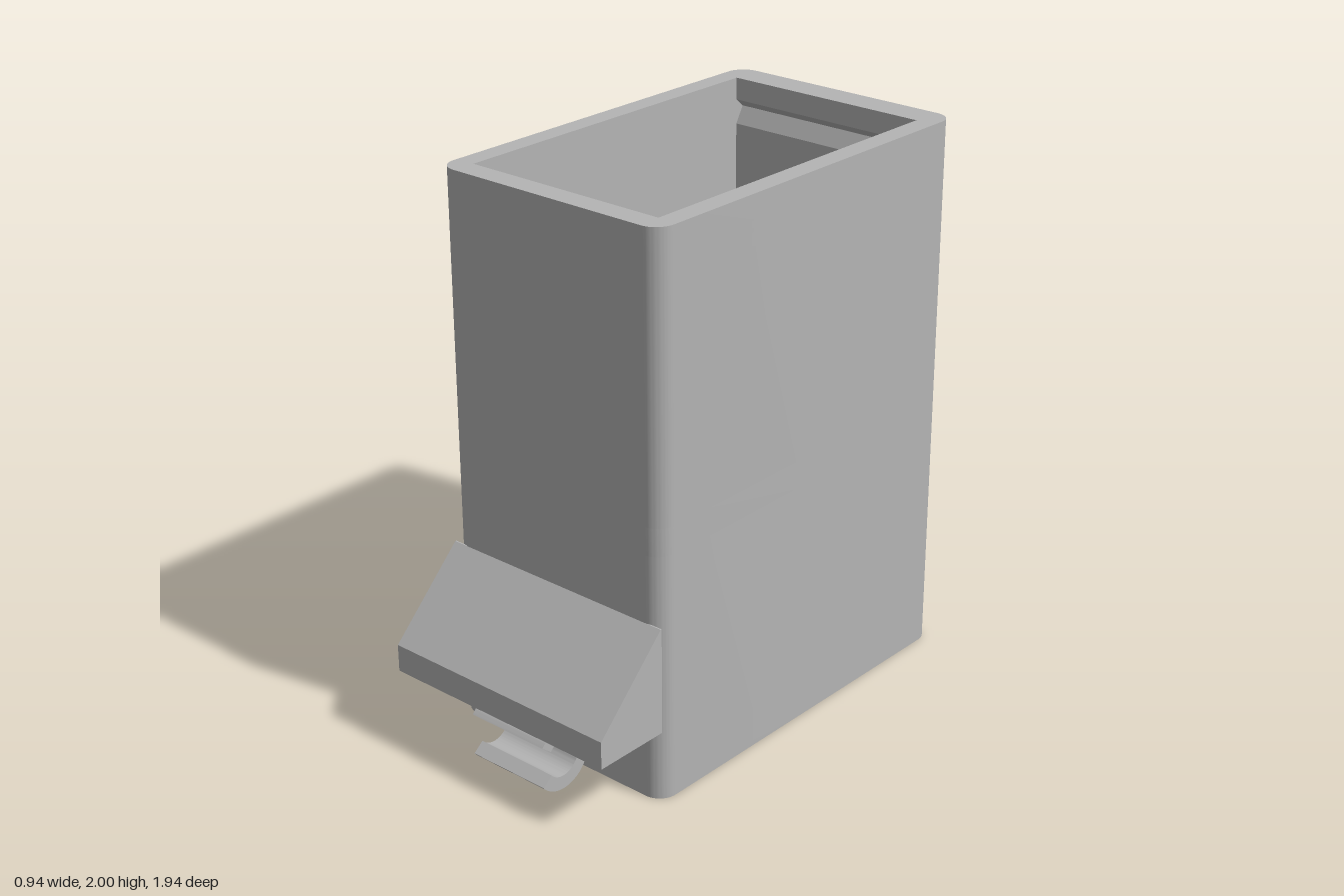
import * as THREE from 'three';
import { toCreasedNormals } from 'three/addons/utils/BufferGeometryUtils.js';

const W = 0.47, BACK = -0.825, FRONT = 0.685, R = 0.07;
const IN_X = 0.395, IN_FRONT = 0.6, IN_BACK = -0.71;
const HOLE_X = 0.365, HOLE_R = 0.045, SLOT = 0.025;

// Plan shapes are drawn in (x, -z)
function outerShape() {
  const s = new THREE.Shape();
  const corners = [[W - R, -FRONT + R], [W - R, -BACK - R], [-W + R, -BACK - R], [-W + R, -FRONT + R]];
  corners.forEach(([x, y], i) => s.absarc(x, y, R, (i - 1) * Math.PI / 2, i * Math.PI / 2, false));
  s.closePath();
  return s;
}

function rectHole(back) {
  return new THREE.Path([[-IN_X, -IN_FRONT], [IN_X, -IN_FRONT], [IN_X, -back], [-IN_X, -back]]
    .map(([x, y]) => new THREE.Vector2(x, y)));
}

function roundHole(x) {
  return new THREE.Path().absarc(x, -IN_BACK, HOLE_R, 0, Math.PI * 2, false);
}

// Two round holes joined by a narrow slot
function slotHole() {
  const a = Math.asin(SLOT / HOLE_R);
  const p = new THREE.Path();
  p.absarc(HOLE_X, -IN_BACK, HOLE_R, Math.PI + a, 3 * Math.PI - a, false);
  p.absarc(-HOLE_X, -IN_BACK, HOLE_R, a, 2 * Math.PI - a, false);
  p.closePath();
  return p;
}

// Extrude a plan through the given heights; rule(z, step) cuts the grooves
function layer(heights, holes, rule = z => z) {
  const shape = outerShape();
  shape.holes.push(...holes);
  const n = heights.length - 1;
  const g = new THREE.ExtrudeGeometry(shape, { depth: n, steps: n, bevelEnabled: false, curveSegments: 10 });
  g.rotateX(-Math.PI / 2);
  const p = g.attributes.position;
  for (let i = 0; i < p.count; i++) {
    const k = Math.round(p.getY(i));
    p.setY(i, heights[k]);
    p.setZ(i, rule(p.getZ(i), k));
  }
  return toCreasedNormals(g, 0.5);
}

// Extrude a (z, y) side profile across x
function across(shape, x0, x1) {
  const g = new THREE.ExtrudeGeometry(shape, { depth: x1 - x0, bevelEnabled: false, curveSegments: 40 });
  g.rotateY(-Math.PI / 2);
  g.translate(x1, 0, 0);
  return g;
}

// Round boss with a blind hole, blending down to a square foot on the wall
function bossGeometry() {
  const r = 0.175, hole = 0.1, cy = 1.51, footY = 1.2, end = -0.97, n = 16;
  const ring = []; // [angle, foot side: 0 = round, otherwise the corner]
  for (let i = 0; i <= 2 * n; i++) ring.push([Math.PI * i / (2 * n), 0]);
  for (let i = 0; i <= n; i++) ring.push([Math.PI * (1 + i / (2 * n)), -1]);
  for (let i = 0; i <= n; i++) ring.push([Math.PI * (1.5 + i / (2 * n)), 1]);
  ring.push([0, 0]);
  const circle = (rad, z) => ring.map(([a]) => [rad * Math.cos(a), cy + rad * Math.sin(a), z]);
  const foot = circle(r, BACK).map((p, i) => (ring[i][1] ? [ring[i][1] * r, footY, BACK] : p));
  const rows = [foot, circle(r, end), circle(hole, end), circle(hole, BACK)];
  const pos = [], idx = [], m = ring.length;
  rows.forEach(row => row.forEach(p => pos.push(...p)));
  for (let j = 0; j < rows.length - 1; j++) {
    for (let i = 0; i < m - 1; i++) {
      const a = j * m + i, b = a + m;
      idx.push(a, b, a + 1, b, b + 1, a + 1);
    }
  }
  const g = new THREE.BufferGeometry();
  g.setAttribute('position', new THREE.Float32BufferAttribute(pos, 3));
  g.setIndex(idx);
  return toCreasedNormals(g, 0.5);
}

export function createModel() {
  const model = new THREE.Group();
  const grey = new THREE.MeshStandardMaterial({ color: 0xb4b4b4 });
  grey.name = 'plain grey';
  const add = (name, geometry, parent = model) => {
    const mesh = new THREE.Mesh(geometry, grey);
    mesh.name = name;
    parent.add(mesh);
    return mesh;
  };

  // Housing: lower sleeve with outer catch groove, dividing floor, upper sleeve with inner groove
  const housing = new THREE.Group();
  housing.name = 'housing';
  model.add(housing);
  const outerCut = [0.025, 0, 0, 0.025, 0, 0];
  add('lowerSleeve', layer([0, 0.02, 0.08, 0.1, 0.15, 0.9], [rectHole(-0.6), slotHole()],
    (z, k) => Math.max(z, BACK + outerCut[k])), housing);
  add('dividingFloor', layer([0.9, 1], [roundHole(HOLE_X), roundHole(-HOLE_X)]), housing);
  const innerCut = [0, 0, 0.035, 0, 0];
  add('upperSleeve', layer([1, 1.83, 1.89, 1.92, 2], [rectHole(IN_BACK)],
    (z, k) => (Math.abs(z - IN_BACK) < 1e-4 ? z - innerCut[k] : z)), housing);

  // Sloped ledge on the front
  const ledge = new THREE.Shape([[0.68, 0.27], [0.97, 0.27], [0.97, 0.37], [0.685, 0.655], [0.68, 0.655]]
    .map(([z, y]) => new THREE.Vector2(z, y)));
  add('frontLedge', across(ledge, -W, W));

  // Open spring clip hanging under the ledge
  const clip = new THREE.Group();
  clip.name = 'clip';
  model.add(clip);
  const x0 = -0.163, x1 = 0.163, gap = 0.68;
  const hook = new THREE.Shape();
  hook.absarc(0.83, 0.122, 0.122, gap, Math.PI * 2 - gap, false);
  hook.absarc(0.83, 0.122, 0.072, Math.PI * 2 - gap, gap, true);
  hook.closePath();
  add('clipHook', toCreasedNormals(across(hook, x0, x1), 0.5), clip);
  add('clipPad', new THREE.BoxGeometry(x1 - x0, 0.04, 0.175), clip).position.set(0, 0.252, 0.828);
  add('clipNeck', new THREE.BoxGeometry(x1 - x0, 0.035, 0.11), clip).position.set(0, 0.22, 0.83);

  // Socket on the back
  add('backSocket', bossGeometry());
  return model;
}
